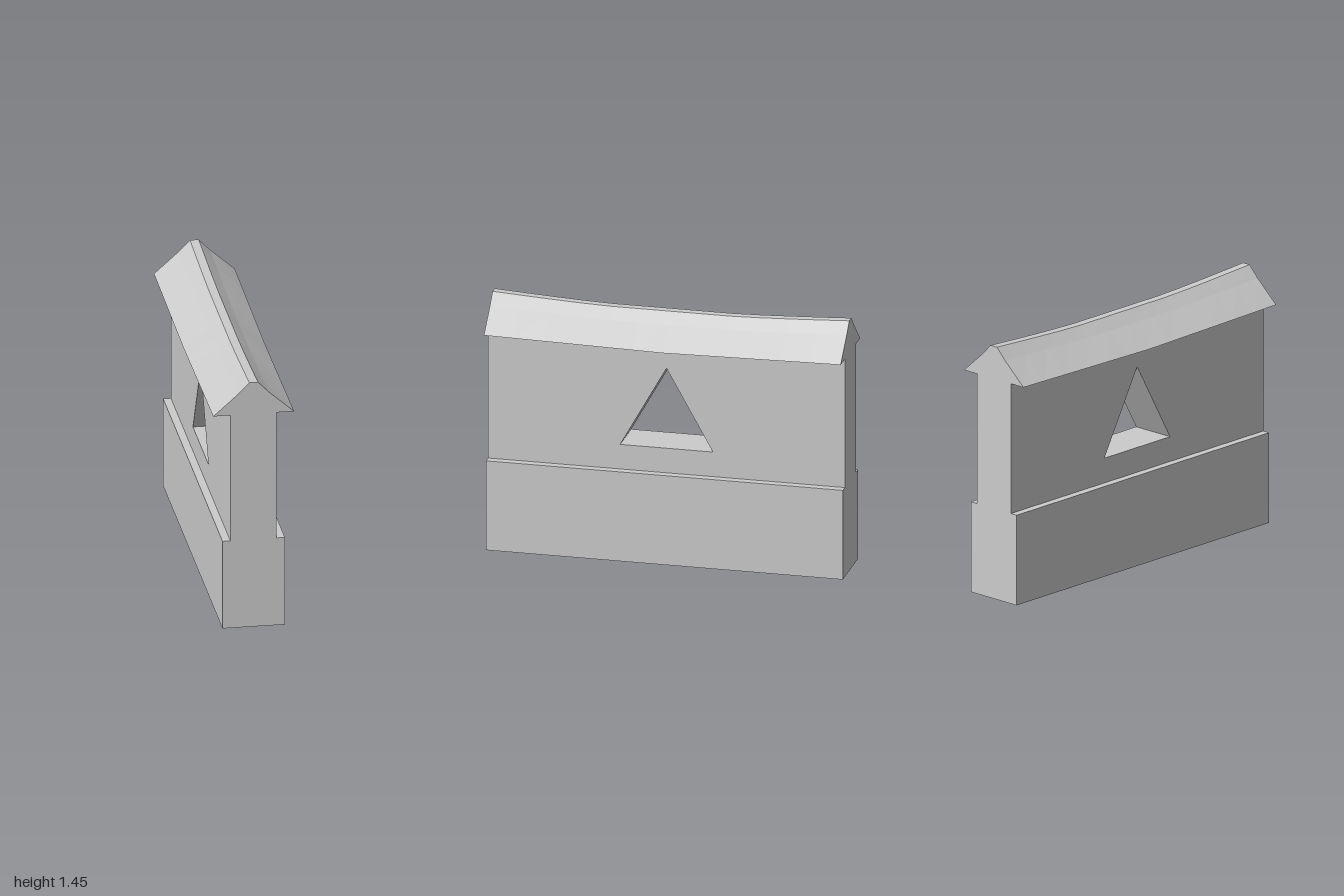
import * as THREE from 'three';

const EAVE = 1.259, RIDGE = 1.445;

// The roof sags toward the middle of the wall
const eaveDrop = z => 0.017 * (1 - Math.abs(z));
const ridgeDrop = z => 0.03 * (1 - Math.pow(Math.max(0, (Math.abs(z) - 0.35) / 0.65), 1.25));

const polygon = pts => new THREE.Shape(pts.map(([x, y]) => new THREE.Vector2(x, y)));

export function createModel() {
  const group = new THREE.Group();
  const material = new THREE.MeshStandardMaterial({ color: 0xcccccc, flatShading: true });
  const add = (name, geometry) => {
    const mesh = new THREE.Mesh(geometry, material);
    mesh.name = name;
    group.add(mesh);
    return mesh;
  };

  // Wide plinth at the foot of the wall
  add('plinth', new THREE.BoxGeometry(0.344, 0.516, 2)).position.y = 0.258;

  // Wall with a triangular window; its top follows the eaves
  const wallTop = [1, 0, -1].map(z => [z, EAVE - eaveDrop(z)]);
  const wallShape = polygon([[-1, 0.516], [1, 0.516], ...wallTop]);
  wallShape.holes.push(polygon([[-0.26, 0.658], [0, 1.12], [0.26, 0.658]]));
  const wall = new THREE.ExtrudeGeometry(wallShape, { depth: 0.254, bevelEnabled: false });
  wall.rotateY(-Math.PI / 2).translate(0.125, 0, 0);
  add('wall', wall);

  // Gabled coping with flared slopes and a narrow flat ridge
  const side = [[0.223, EAVE], [0.085, 1.382], [0.024, RIDGE]];
  const mirrored = side.map(([x, y]) => [-x, y]).reverse();
  const roof = new THREE.ExtrudeGeometry(polygon([...side, ...mirrored]), {
    depth: 2, steps: 12, bevelEnabled: false,
  });
  roof.translate(0, 0, -1);
  const pos = roof.attributes.position;
  for (let i = 0; i < pos.count; i++) {
    const y = pos.getY(i), z = pos.getZ(i);
    const t = (y - EAVE) / (RIDGE - EAVE);
    pos.setY(i, y - THREE.MathUtils.lerp(eaveDrop(z), ridgeDrop(z), t));
  }
  roof.computeVertexNormals();
  add('roof', roof);

  return group;
}
